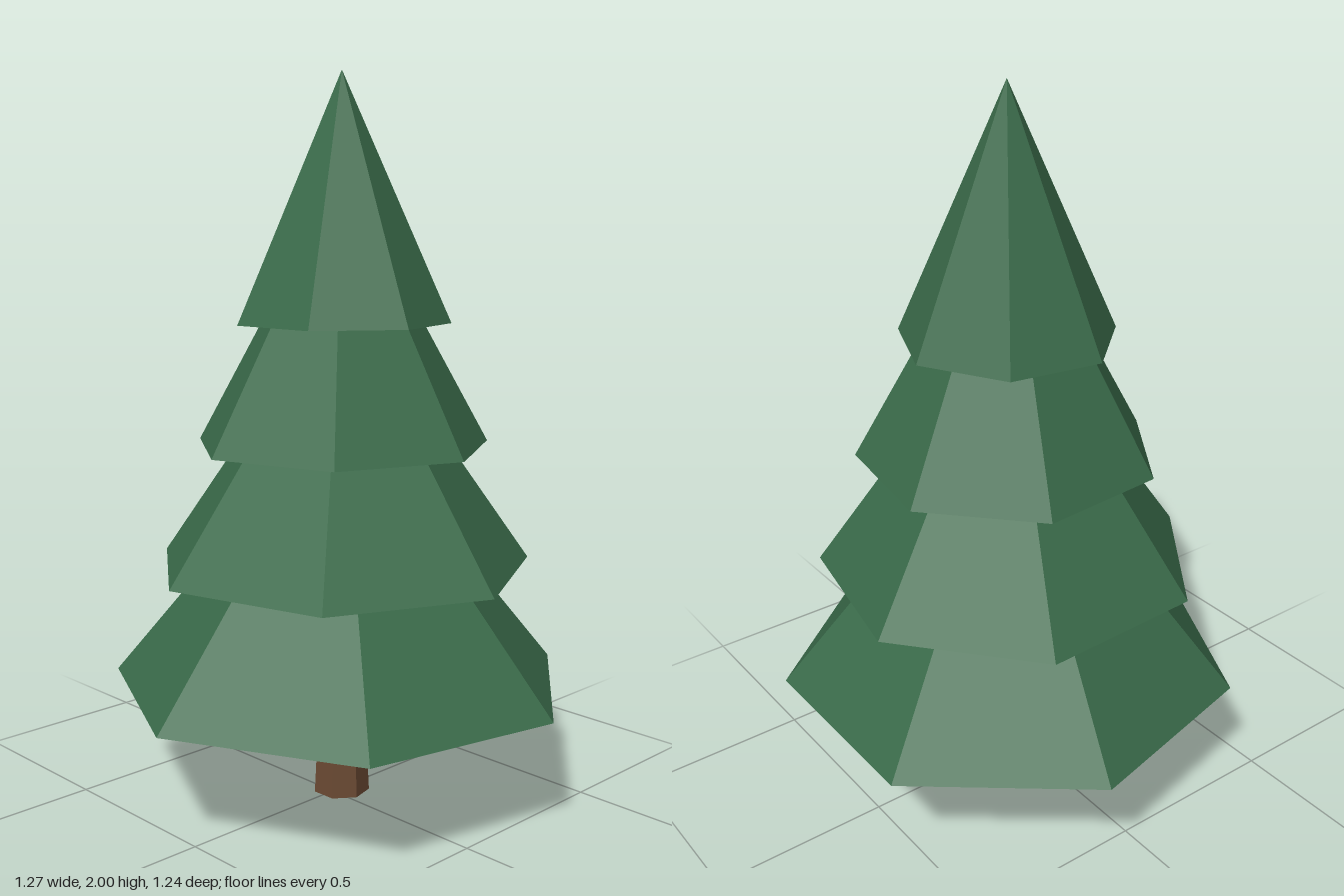
import * as THREE from 'three';

export function createModel() {
  const tree = new THREE.Group();
  tree.name = 'pineTree';

  const needles = new THREE.MeshStandardMaterial({ color: 0x3a6b4a, flatShading: true });
  needles.name = 'needle green';
  const bark = new THREE.MeshStandardMaterial({ color: 0x6b4a33, flatShading: true });
  bark.name = 'bark brown';

  const SIDES = 7;
  const AXIS_Z = -0.034; // seven-sided tiers sit slightly behind the middle

  // Tapered trunk, reaching just into the lowest tier
  const trunkGeometry = new THREE.CylinderGeometry(0.063, 0.08, 0.34, SIDES, 1, false, -0.42);
  const trunk = new THREE.Mesh(trunkGeometry, bark);
  trunk.name = 'trunk';
  trunk.position.set(0, 0.17, AXIS_Z);
  tree.add(trunk);

  // Overlapping foliage cones, each with its own twist
  const tiers = [
    { name: 'lowestBranches', base: 0.33, radius: 0.65, height: 0.785, twist: 0 },
    { name: 'lowerBranches', base: 0.665, radius: 0.534, height: 0.76, twist: -0.192 },
    { name: 'upperBranches', base: 1.0, radius: 0.415, height: 0.74, twist: -0.148 },
    { name: 'treetop', base: 1.335, radius: 0.297, height: 0.665, twist: -0.392 },
  ];
  for (const { name, base, radius, height, twist } of tiers) {
    const cone = new THREE.Mesh(
      new THREE.ConeGeometry(radius, height, SIDES, 1, false, twist), needles);
    cone.name = name;
    cone.position.set(0, base + height / 2, AXIS_Z);
    tree.add(cone);
  }

  return tree;
}
